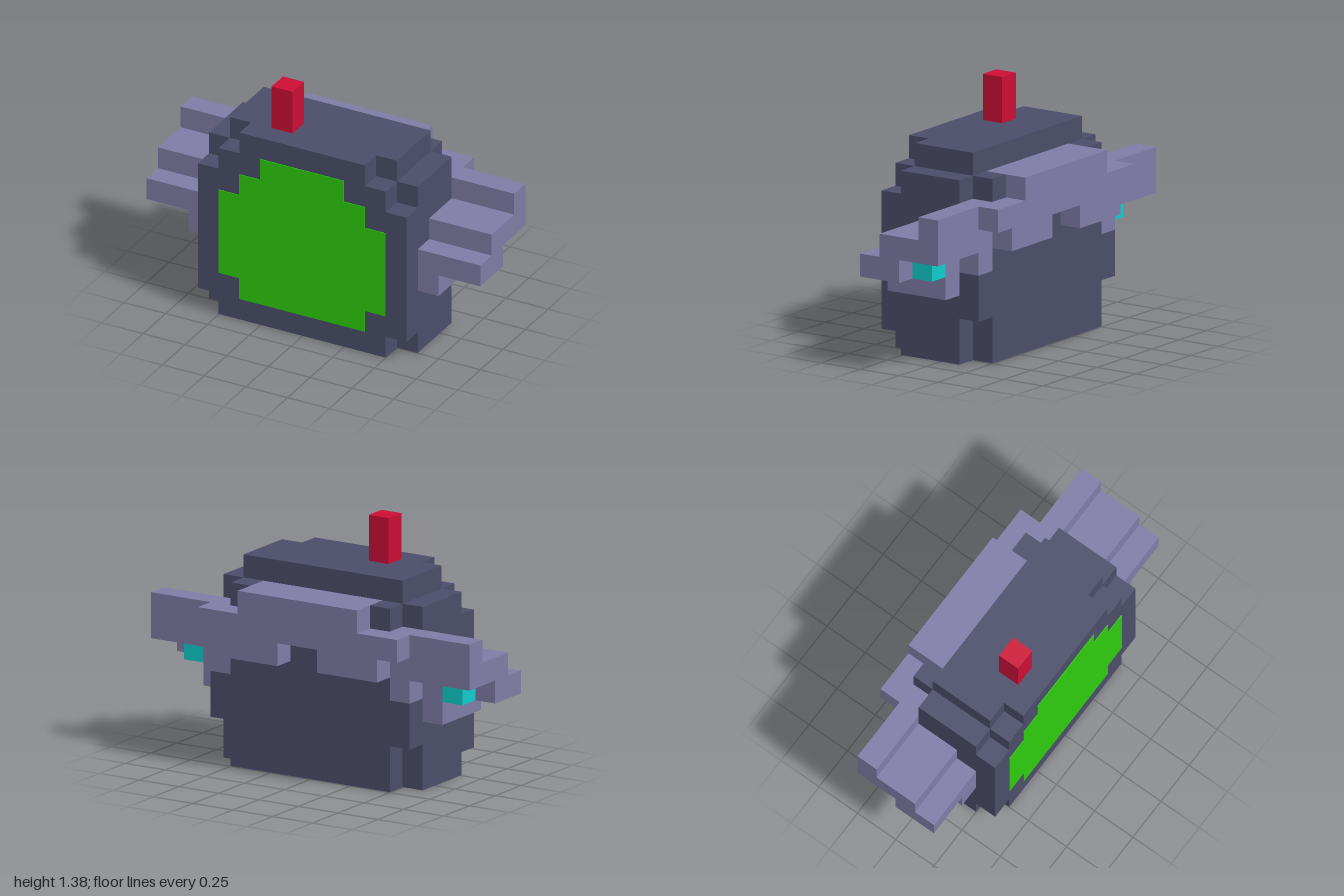
import * as THREE from 'three';

const U = 0.125; // size of one block

const material = (name, color) => {
  const m = new THREE.MeshStandardMaterial({ color });
  m.name = name;
  return m;
};

export function createModel() {
  const model = new THREE.Group();
  model.name = 'blockRobot';
  const slate = material('slate', 0x4b4d6a);
  const lilac = material('lilac', 0x7f7ca6);
  const green = material('green', 0x2ecc0e);
  const cyan = material('cyan', 0x10cccc);
  const red = material('red', 0xcc0e35);

  // Box from its corner ranges, in blocks
  const box = (parent, name, mat, [x0, x1], [y0, y1], [z0, z1]) => {
    const geo = new THREE.BoxGeometry((x1 - x0) * U, (y1 - y0) * U, (z1 - z0) * U);
    const mesh = new THREE.Mesh(geo, mat);
    mesh.position.set((x0 + x1) / 2 * U, (y0 + y1) / 2 * U, (z0 + z1) / 2 * U);
    mesh.name = name;
    parent.add(mesh);
  };
  // The same box on both sides
  const pair = (parent, name, mat, [x0, x1], y, z) => {
    box(parent, name + 'Left', mat, [x0, x1], y, z);
    box(parent, name + 'Right', mat, [-x1, -x0], y, z);
  };
  const group = (name) => {
    const g = new THREE.Group();
    g.name = name;
    model.add(g);
    return g;
  };

  // Body: stepped front, middle and back layers
  const body = group('body');
  box(body, 'frontWide', slate, [-5, 5], [1, 7], [2, 3]);
  box(body, 'frontTall', slate, [-4, 4], [0, 8], [2, 3]);
  box(body, 'frontTop', slate, [-3, 3], [8, 9], [2, 3]);
  box(body, 'middle', slate, [-5, 5], [0, 8], [-1, 2]);
  box(body, 'middleTop', slate, [-4, 4], [8, 9], [-1, 2]);
  box(body, 'back', slate, [-4, 4], [0, 7], [-2, -1]);
  pair(body, 'backSide', slate, [4, 5], [2, 4], [-2, -1]);
  pair(body, 'backShoulder', slate, [3, 4], [7, 8], [-2, -1]);

  // Front screen with stepped outline
  const half = [[3, 1], [3, 2], [4, 2], [4, 6], [3, 6], [3, 7], [2, 7], [2, 8]];
  const outline = [...half, ...half.map(([x, y]) => [-x, y]).reverse()];
  const shape = new THREE.Shape(outline.map(([x, y]) => new THREE.Vector2(x * U, y * U)));
  const screen = new THREE.Mesh(
    new THREE.ExtrudeGeometry(shape, { depth: 0.004, bevelEnabled: false }), green);
  screen.position.z = 3 * U;
  screen.name = 'screen';
  model.add(screen);

  // Glowing plate underneath
  box(model, 'basePlate', cyan, [-4, 4], [-0.02, 0.02], [-1, 2]);

  // Back pack running between the wings
  const pack = group('backPack');
  box(pack, 'packTop', lilac, [-3, 3], [7, 8], [-3, -1]);
  box(pack, 'packBand', lilac, [-5, 5], [6, 7], [-3, -2]);
  pair(pack, 'packLower', lilac, [1, 4], [5, 6], [-3, -2]);
  pair(pack, 'packMount', lilac, [4, 5], [4, 7], [-2, -1]);

  // Stepped wings with a thruster below each
  const wings = group('wings');
  pair(wings, 'wingTop', lilac, [5, 8], [6, 7], [-2, -1]);
  pair(wings, 'wingMiddle', lilac, [5, 8], [5, 6], [-2, 1]);
  pair(wings, 'wingFront', lilac, [5, 8], [4, 5], [1, 2]);
  pair(wings, 'wingTip', lilac, [7, 8], [4, 5], [0, 1]);
  pair(wings, 'wingRoot', lilac, [5, 6], [3, 5], [-1, 2]);
  pair(wings, 'thruster', cyan, [6, 7], [4, 5], [-1, 1]);

  // Antenna
  box(model, 'antenna', red, [-2, -1], [9, 11], [1, 2]);
  return model;
}
